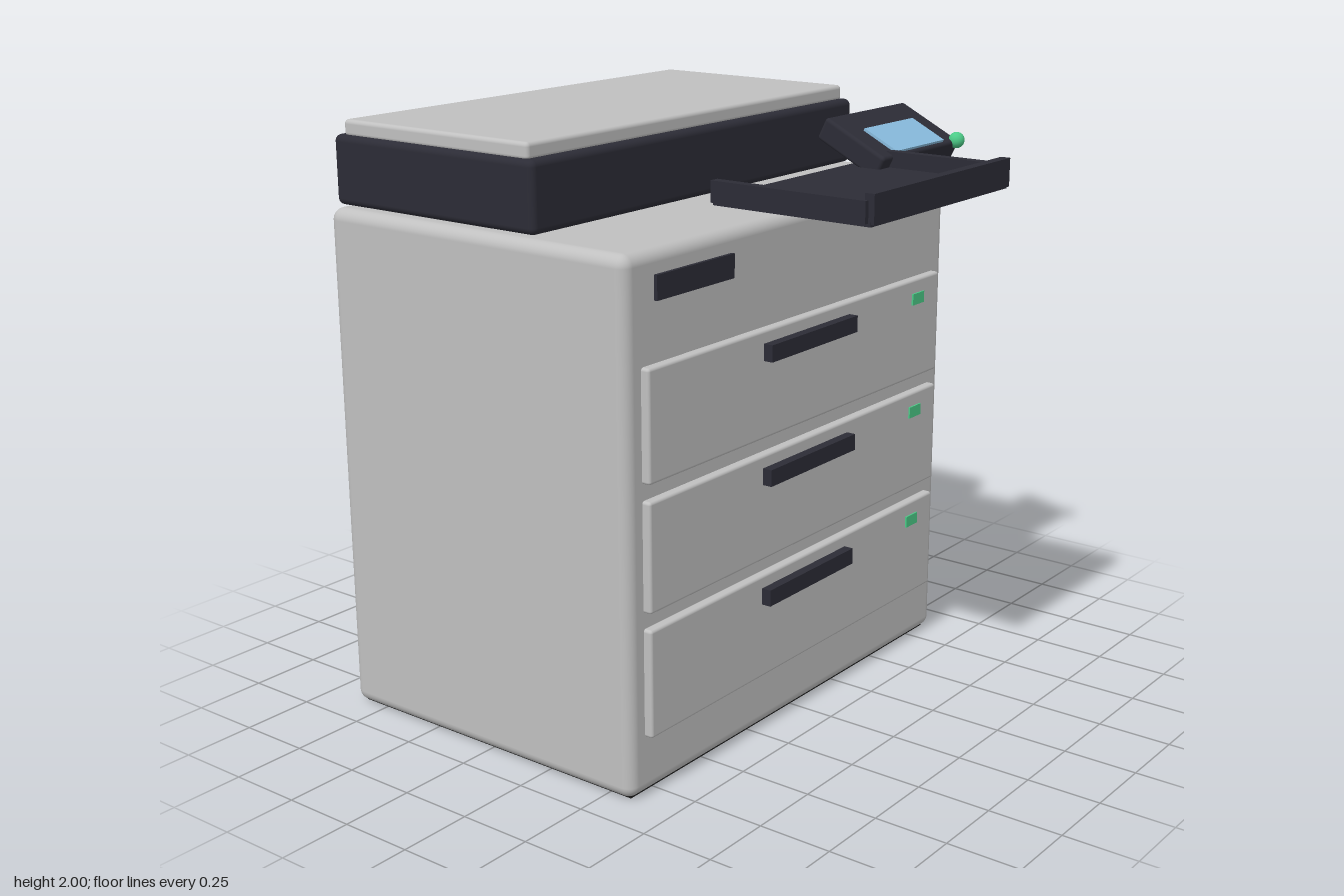
import * as THREE from 'three';
import { RoundedBoxGeometry } from 'three/addons/geometries/RoundedBoxGeometry.js';

function material(name, color) {
  const m = new THREE.MeshStandardMaterial({ color });
  m.name = name;
  return m;
}

export function createModel() {
  const grey = material('light grey', 0xc0c0c0);
  const dark = material('charcoal', 0x2c2c36);
  const black = material('black', 0x1c1c1c);
  const green = material('green', 0x4ccb88);
  const blue = material('screen blue', 0x88bbdd);

  const model = new THREE.Group();
  model.name = 'copier';

  // Box given by its min and max corners; a radius rounds its edges
  function box(parent, name, mat, [x0, y0, z0], [x1, y1, z1], radius = 0) {
    const size = [x1 - x0, y1 - y0, z1 - z0];
    const geo = radius ? new RoundedBoxGeometry(...size, 4, radius) : new THREE.BoxGeometry(...size);
    const mesh = new THREE.Mesh(geo, mat);
    mesh.name = name;
    mesh.position.set((x0 + x1) / 2, (y0 + y1) / 2, (z0 + z1) / 2);
    parent.add(mesh);
    return mesh;
  }
  function group(name) {
    const g = new THREE.Group();
    g.name = name;
    model.add(g);
    return g;
  }

  // Cabinet, underside and scanner
  box(model, 'cabinet', grey, [-0.885, 0.004, -0.875], [0.885, 1.722, 0.355], 0.04);
  box(model, 'base', black, [-0.855, 0, -0.85], [0.855, 0.02, 0.33]);
  box(model, 'scanner', dark, [-0.848, 1.726, -0.875], [0.848, 1.952, -0.022], 0.022);
  box(model, 'scannerLid', grey, [-0.83, 1.945, -0.842], [0.83, 2, -0.055], 0.014);
  box(model, 'frontSlot', dark, [-0.75, 1.57, 0.34], [-0.375, 1.647, 0.367]);

  // Three paper drawers with handle and indicator
  for (let i = 0; i < 3; i++) {
    const drawer = group('drawer' + (i + 1));
    drawer.position.y = 0.38 + i * 0.411;
    box(drawer, 'drawerFront', grey, [-0.814, -0.179, 0.335], [0.81, 0.179, 0.384], 0.01);
    box(drawer, 'handle', dark, [-0.243, 0.08, 0.375], [0.24, 0.136, 0.417]);
    box(drawer, 'indicator', green, [0.633, 0.089, 0.382], [0.705, 0.129, 0.39]);
  }

  // Output tray: floor, side walls and front lip
  const tray = group('outputTray');
  box(tray, 'trayFloor', dark, [-0.395, 1.79, 0.3], [0.395, 1.815, 0.865]);
  for (const s of [-1, 1]) {
    const x = s * 0.392;
    box(tray, 'trayWall', dark, [x - 0.017, 1.8, 0.3], [x + 0.017, 1.868, 0.855]);
  }
  box(tray, 'trayLip', dark, [-0.393, 1.797, 0.842], [0.393, 1.888, 0.875]);

  // Tilted control panel with screen and button
  const panel = group('controlPanel');
  panel.position.set(0.558, 1.873, 0.322);
  panel.rotation.x = 0.46;
  box(panel, 'panelBody', dark, [-0.24, -0.041, -0.13], [0.24, 0.041, 0.13], 0.012);
  box(panel, 'screen', blue, [-0.153, 0.041, -0.026], [0.147, 0.05, 0.116]);

  const button = new THREE.Mesh(new THREE.SphereGeometry(0.028, 20, 14), green);
  button.name = 'startButton';
  button.position.set(0.781, 1.856, 0.453);
  model.add(button);

  return model;
}
